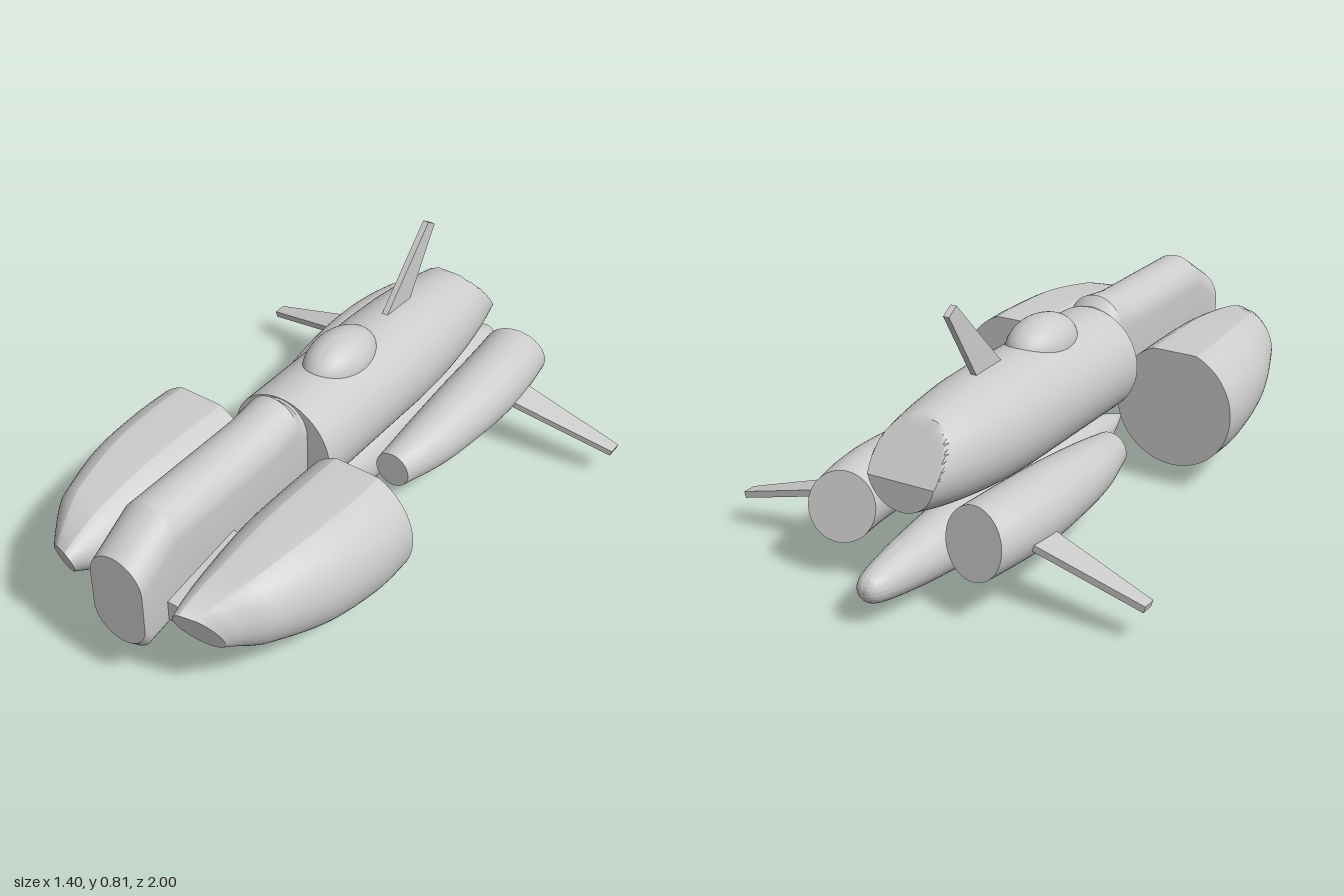
import * as THREE from 'three';
import { toCreasedNormals } from 'three/addons/utils/BufferGeometryUtils.js';

const material = new THREE.MeshStandardMaterial({ color: 0xcccccc });

function add(group, name, geometry, crease = 0.6) {
  const mesh = new THREE.Mesh(toCreasedNormals(geometry, crease), material);
  mesh.name = name;
  group.add(mesh);
  return mesh;
}

// Refines rows of [z, centre x, centre y, radius] along a smooth curve.
function refine(rows, count) {
  const centre = new THREE.CatmullRomCurve3(rows.map(r => new THREE.Vector3(r[1], r[2], r[0])), false, 'catmullrom');
  const radius = new THREE.CatmullRomCurve3(rows.map(r => new THREE.Vector3(r[3], 0, 0)), false, 'catmullrom');
  return Array.from({ length: count + 1 }, (_, i) => {
    const c = centre.getPoint(i / count);
    return [c.z, c.x, c.y, radius.getPoint(i / count).x];
  });
}

// Closed skin over rings running from front to back; point(row, angle, t) gives [x, y, z].
function loft(rows, point, segments = 48) {
  const positions = [], index = [];
  rows.forEach((row, i) => {
    for (let j = 0; j < segments; j++) {
      positions.push(...point(row, (j / segments) * Math.PI * 2, i / (rows.length - 1)));
    }
  });
  const at = (i, j) => i * segments + (j % segments);
  for (let i = 0; i < rows.length - 1; i++) {
    for (let j = 0; j < segments; j++) {
      const a = at(i, j), b = at(i, j + 1), c = at(i + 1, j), d = at(i + 1, j + 1);
      index.push(a, c, b, b, c, d);
    }
  }
  for (const end of [0, rows.length - 1]) {
    const centre = positions.length / 3, sum = [0, 0, 0];
    for (let j = 0; j < segments; j++) {
      for (let k = 0; k < 3; k++) sum[k] += positions[at(end, j) * 3 + k] / segments;
    }
    positions.push(...sum);
    for (let j = 0; j < segments; j++) {
      if (end === 0) index.push(centre, at(end, j), at(end, j + 1));
      else index.push(centre, at(end, j + 1), at(end, j));
    }
  }
  const geometry = new THREE.BufferGeometry();
  geometry.setAttribute('position', new THREE.Float32BufferAttribute(positions, 3));
  geometry.setIndex(index);
  geometry.computeVertexNormals();
  return geometry;
}

// Unit box whose corners (signs -1 or 1) are moved by a rule.
function shapedBox(rule) {
  const geometry = new THREE.BoxGeometry(2, 2, 2), p = geometry.attributes.position;
  for (let i = 0; i < p.count; i++) p.setXYZ(i, ...rule(p.getX(i), p.getY(i), p.getZ(i)));
  geometry.computeVertexNormals();
  return geometry;
}

export function createModel() {
  const model = new THREE.Group();
  model.name = 'spacecraft';

  // Main body: tapering tube with a slanted cut on the upper tail
  const bodyRows = [[0.24, 0, 0.4, 0.177], ...refine(
    [[-0.3, 0, 0.4, 0.177], [-0.45, 0, 0.4, 0.171], [-0.6, 0, 0.4, 0.155], [-0.72, 0, 0.4, 0.135], [-0.815, 0, 0.4, 0.113]], 24)];
  add(model, 'mainBody', loft(bodyRows, ([z, cx, cy, r], a) =>
    [cx + r * Math.cos(a), Math.min(cy + r * Math.sin(a), 0.535 + (z + 0.7) * 1.36), z], 64));

  // Neck: stadium sections, rows of [z, top, bottom]
  const neckRows = [[1, 0.5, 0.19], [0.97, 0.518, 0.157], [0.9, 0.56, 0.17], [0.85, 0.59, 0.172],
    [0.6, 0.59, 0.175], [0.4, 0.59, 0.19], [0.28, 0.605, 0.218], [0.25, 0.575, 0.22], [-0.3, 0.55, 0.22]];
  const w = 0.095;
  add(model, 'neck', loft(neckRows, ([z, top, bottom], a) => {
    const upper = Math.sin(a) >= 0;
    return [w * Math.cos(a), (upper ? top - w : bottom + w) + w * Math.sin(a), z];
  }), 0.35);

  // Lower hull: slender spindle
  const hullProfile = [[-1, 0.001], [-0.995, 0.022], [-0.97, 0.043], [-0.9, 0.06], [-0.75, 0.082], [-0.5, 0.106],
    [-0.25, 0.115], [0, 0.103], [0.2, 0.076], [0.35, 0.042], [0.47, 0.001]];
  const curve = new THREE.SplineCurve(hullProfile.map(([z, r]) => new THREE.Vector2(r, z)));
  const hull = new THREE.LatheGeometry(curve.getPoints(50), 48);
  hull.rotateX(Math.PI / 2);
  hull.translate(0, 0.12, 0);
  add(model, 'lowerHull', hull);

  // Canopy dome
  const canopy = new THREE.SphereGeometry(1, 40, 24);
  canopy.scale(0.095, 0.09, 0.152);
  canopy.translate(0, 0.55, -0.06);
  add(model, 'canopy', canopy);

  // Tail fin, swept back
  add(model, 'tailFin', shapedBox((x, y, z) => y > 0
    ? [x * 0.01, z > 0 ? 0.812 : 0.788, z > 0 ? -0.535 : -0.573]
    : [x * 0.01, 0.52, z > 0 ? -0.255 : -0.41]));

  for (const s of [1, -1]) {
    const side = new THREE.Group();
    side.name = s > 0 ? 'leftSide' : 'rightSide';
    model.add(side);

    // Front nacelle: flattened on top, nose cut at a slant, flat at the back
    const nacelle = refine([[0.95, 0.25, 0.33, 0.08], [0.9, 0.256, 0.332, 0.1], [0.8, 0.27, 0.324, 0.135], [0.6, 0.288, 0.302, 0.184],
      [0.4, 0.296, 0.285, 0.203], [0.265, 0.296, 0.282, 0.203]], 30);
    add(side, 'frontNacelle', loft(nacelle, ([z, cx, cy, r], a, t) => {
      const nose = Math.max(0, 1 - t / 0.4);
      let dx = r * Math.cos(a) * s, dy = Math.min(r * Math.sin(a), 0.93 * r);
      // pinch the nose into an ellipse lying along the diagonal
      const pinch = (dx + dy) * 0.5 * 0.4 * nose;
      dx -= pinch;
      dy -= pinch;
      return [s * (cx + dx), cy + dy, z + 0.32 * (dy - dx) * nose];
    }, 64), 0.35);

    // Cheek intake between neck and nacelle
    add(side, 'cheekIntake', shapedBox((x, y, z) => z > 0
      ? [s * 0.11 + x * 0.035, 0.28 + y * 0.035, 0.9]
      : [s * 0.12 + x * 0.047, 0.287 + y * 0.077, z > -1 ? 0.7 : 0.6]));

    // Rear engine: swelling tube with a tilted rear face
    const engine = refine([[-0.03, 0.227, 0.228, 0.06], [-0.2, 0.245, 0.235, 0.087], [-0.4, 0.252, 0.242, 0.104],
      [-0.57, 0.25, 0.243, 0.111], [-0.7, 0.239, 0.243, 0.109], [-0.795, 0.225, 0.24, 0.105]], 30);
    add(side, 'rearEngine', loft(engine, ([z, cx, cy, r], a, t) => {
      const dx = r * Math.cos(a) * s, dy = r * Math.sin(a);
      const tail = Math.max(0, (t - 0.6) / 0.4);
      return [s * (cx + dx), cy + dy, z + 0.2 * (dy - dx) * tail];
    }));

    // Side fin, drooping outward
    add(side, 'sideFin', shapedBox((x, y, z) => {
      const tip = x * s > 0;
      return [s * (tip ? 0.695 : 0.29) + s * y * 0.003, (tip ? 0.115 : 0.222) + y * 0.01,
        z < 0 ? -0.68 : tip ? -0.635 : -0.558];
    }));
  }
  return model;
}
